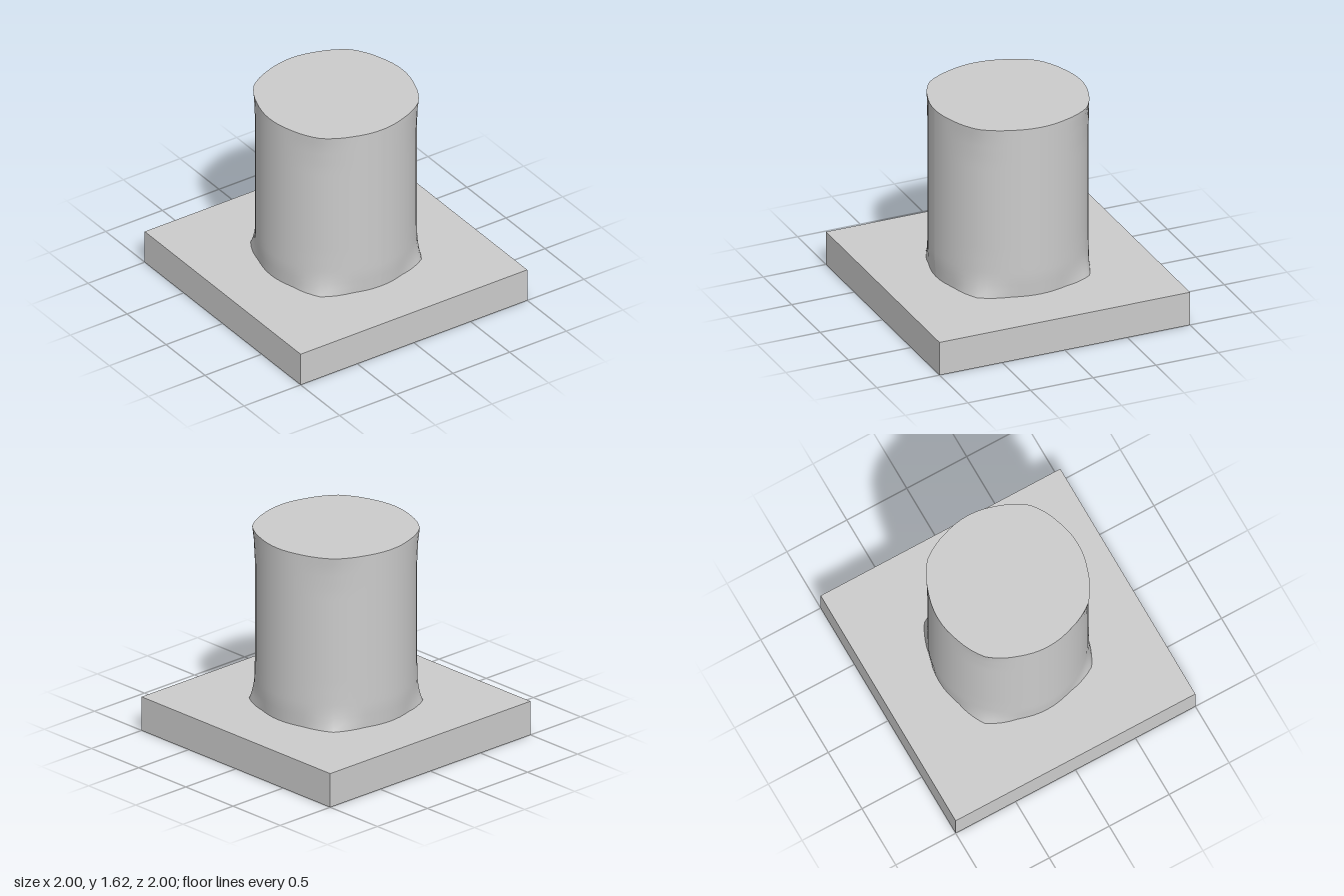
import * as THREE from 'three';

const BASE_HEIGHT = 0.265;
const TOP = 1.62;

// Piecewise linear lookup through [height, value] pairs
function lookup(pairs, y) {
  for (let i = 1; i < pairs.length; i++) {
    const [y0, v0] = pairs[i - 1];
    const [y1, v1] = pairs[i];
    if (y <= y1) return v0 + (v1 - v0) * Math.max(0, (y - y0) / (y1 - y0));
  }
  return pairs[pairs.length - 1][1];
}

// Column radius by height, and how far the four diagonals flare outward
const RADIUS = [[0.265, 0.576], [0.42, 0.586], [TOP, 0.586]];
const FLARE = [[0.265, 0.056], [0.33, 0.028], [0.42, 0.008], [0.6, 0.004], [1.35, 0.004], [1.52, 0.012], [TOP, 0.024]];

function columnGeometry() {
  const height = TOP - BASE_HEIGHT;
  const geometry = new THREE.CylinderGeometry(1, 1, height, 64, 28);
  geometry.translate(0, BASE_HEIGHT + height / 2, 0);
  const p = geometry.attributes.position;
  for (let i = 0; i < p.count; i++) {
    const x = p.getX(i), y = p.getY(i), z = p.getZ(i);
    // 0 on the axes, 1 on the diagonals
    const fromDiagonal = Math.abs(Math.atan2(Math.abs(z), Math.abs(x)) - Math.PI / 4);
    const weight = Math.max(0, 1 - fromDiagonal / 0.42);
    const r = lookup(RADIUS, y) + lookup(FLARE, y) * weight;
    p.setXYZ(i, x * r, y, z * r);
  }
  geometry.computeVertexNormals();
  return geometry;
}

export function createModel() {
  const model = new THREE.Group();
  model.name = 'columnOnPlinth';
  const material = new THREE.MeshStandardMaterial({ color: 0xcccccc });

  // Square slab
  const plinth = new THREE.Mesh(new THREE.BoxGeometry(2, BASE_HEIGHT, 2), material);
  plinth.name = 'plinth';
  plinth.position.y = BASE_HEIGHT / 2;

  // Round column with softly flared diagonals at foot and rim
  const column = new THREE.Mesh(columnGeometry(), material);
  column.name = 'column';

  model.add(plinth, column);
  return model;
}
